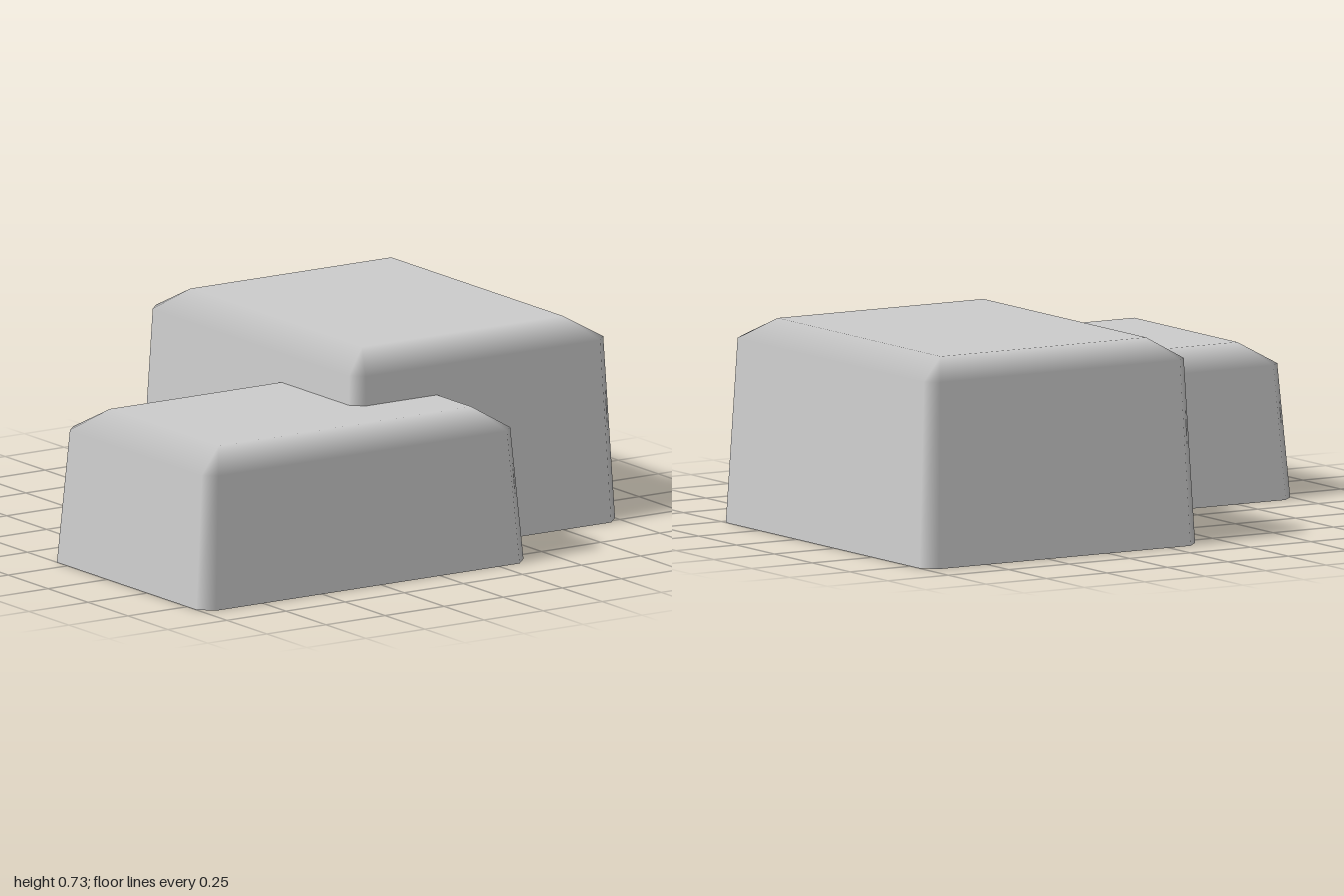
import * as THREE from 'three';

const grey = new THREE.MeshStandardMaterial({ color: 0xcccccc, side: THREE.DoubleSide });
grey.name = 'plain grey';

// Outward directions of the front, right, back and left walls
const outward = [[0, 1], [1, 0], [0, -1], [-1, 0]];

// Eight points round a rectangle with cut corners, two per wall
function ring([x0, x1, z0, z1], y, c) {
  return [
    [x0 + c, z1], [x1 - c, z1], [x1, z1 - c], [x1, z0 + c],
    [x1 - c, z0], [x0 + c, z0], [x0, z0 + c], [x0, z1 - c],
  ].map(([x, z]) => new THREE.Vector3(x, y, z));
}

// Tapered block, open below, with cut upright corners and a softly shaded top bevel.
// spans gives the kept part of a wall strip (null leaves the strip out).
function block(name, base, shoulder, top, shoulderY, topY, spans = {}) {
  const positions = [], normals = [], index = [];
  const add = (p, n) => {
    positions.push(p.x, p.y, p.z);
    normals.push(n.x, n.y, n.z);
    return positions.length / 3 - 1;
  };
  const quad = (a, b, c, d) => index.push(a, b, c, a, c, d);

  const low = ring(base, 0, 0.05);
  const high = ring(shoulder, shoulderY, 0.042);
  const wallNormal = (i) => {
    const [x, z] = outward[Math.floor((i % 8) / 2)];
    return new THREE.Vector3(x, 0.07, z).normalize();
  };

  // Walls and upright corner strips
  for (let i = 0; i < 8; i++) {
    const j = (i + 1) % 8;
    const span = spans[i] === undefined ? [0, 1] : spans[i];
    if (!span) continue;
    const [s, e] = span;
    quad(
      add(low[i].clone().lerp(low[j], s), wallNormal(i)),
      add(low[i].clone().lerp(low[j], e), wallNormal(j)),
      add(high[i].clone().lerp(high[j], e), wallNormal(j)),
      add(high[i].clone().lerp(high[j], s), wallNormal(i)));
  }

  // Flat top and the bevel leading up to it
  const [x0, x1, z0, z1] = top;
  const up = new THREE.Vector3(0, 1, 0);
  const t = [[x0, z1], [x1, z1], [x1, z0], [x0, z0]]
    .map(([x, z]) => add(new THREE.Vector3(x, topY, z), up));
  const rim = high.map((p, i) => add(p, wallNormal(i)));
  quad(...t);
  for (let i = 0; i < 8; i++) {
    const j = (i + 1) % 8;
    const k = Math.floor((i + 1) / 2) % 4;
    if (i % 2) index.push(rim[i], rim[j], t[k]);
    else quad(rim[i], rim[j], t[(k + 1) % 4], t[k]);
  }

  const geometry = new THREE.BufferGeometry();
  geometry.setAttribute('position', new THREE.Float32BufferAttribute(positions, 3));
  geometry.setAttribute('normal', new THREE.Float32BufferAttribute(normals, 3));
  geometry.setIndex(index);
  const mesh = new THREE.Mesh(geometry, grey);
  mesh.name = name;
  return mesh;
}

export function createModel() {
  const group = new THREE.Group();
  group.name = 'two joined blocks';

  // Tall block at the back left
  group.add(block('tallBlock',
    [-0.14, 1, -0.86, 0.52], [-0.11, 0.965, -0.825, 0.49], [0, 0.85, -0.71, 0.365],
    0.655, 0.727));

  // Low block at the front right; its walls stop where they meet the tall block
  group.add(block('lowBlock',
    [-1, 0.385, -0.115, 0.857], [-0.96, 0.345, -0.085, 0.825], [-0.84, 0.23, -0.03 + 0.06, 0.71],
    0.475, 0.55, { 2: [0, 0.345], 3: null, 4: [0.344, 1] }));

  return group;
}
